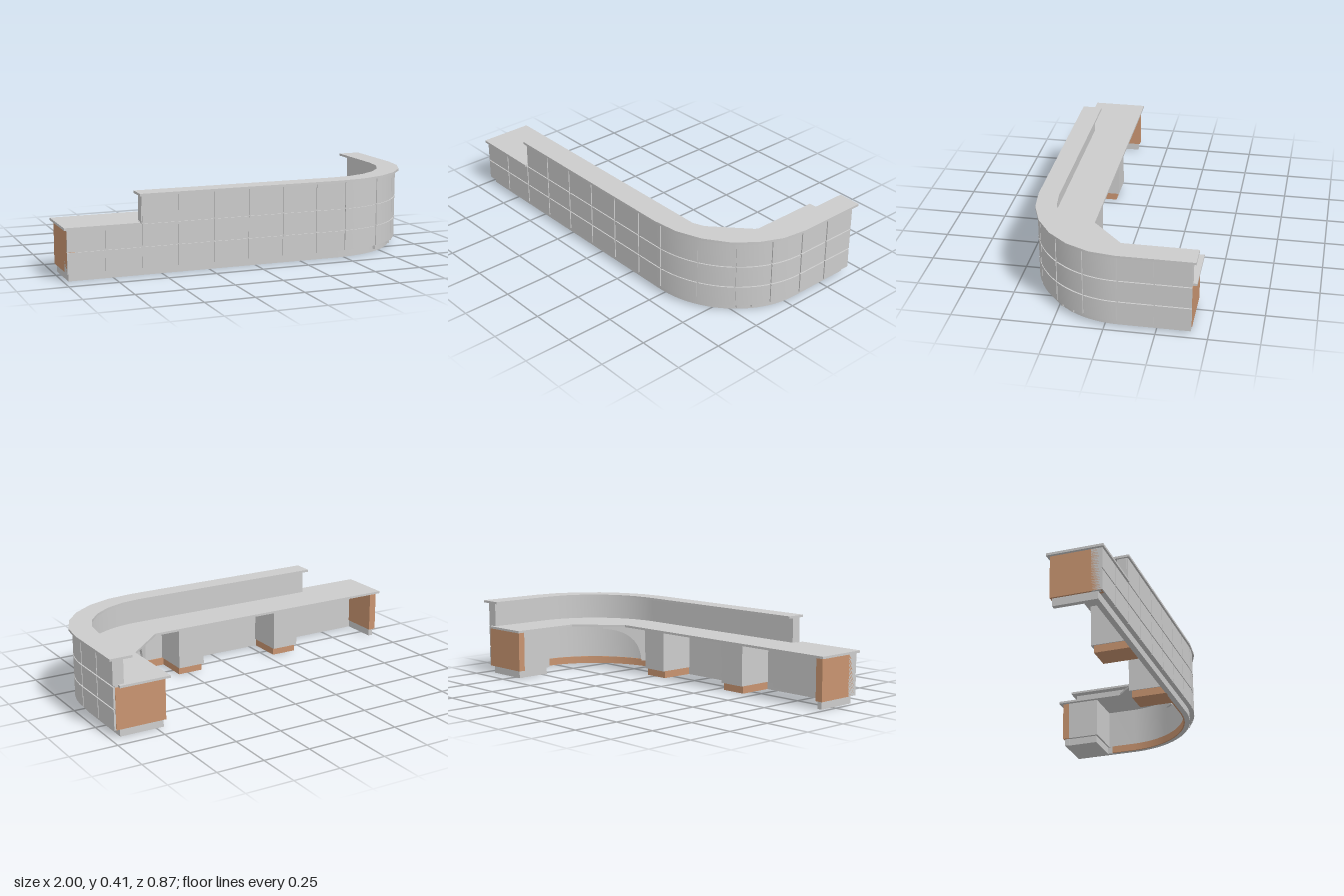
import * as THREE from 'three';
import { toCreasedNormals } from 'three/addons/utils/BufferGeometryUtils.js';

const grey = new THREE.MeshStandardMaterial({ color: 0xcccccc });
const wood = new THREE.MeshStandardMaterial({ color: 0xc89470 });

// Point on the counter line. u < 0: straight front, 0..1: corner curve, > 1: side leg.
// Insets move it inwards from the outermost edge.
function pointAt(u, [ix, iz]) {
  const a = THREE.MathUtils.clamp(u, 0, 1) * Math.PI / 2;
  const x = 0.46 + (0.54 - ix) * Math.sin(a) + Math.min(u, 0);
  const z = -0.06 + (0.49 - iz) * Math.cos(a) - Math.max(u - 1, 0);
  return [x, z];
}

function line(u0, u1, inset, segs) {
  const us = [u0];
  for (let i = 0; i <= segs; i++) {
    const u = i / segs;
    if (u > u0 + 1e-4 && u < u1 - 1e-4) us.push(u);
  }
  us.push(u1);
  return us.map(u => pointAt(u, inset));
}

// Slab with a floor outline given as [x, z] points
function slab(points, y0, y1) {
  const shape = new THREE.Shape(points.map(([x, z]) => new THREE.Vector2(x, -z)));
  const geo = new THREE.ExtrudeGeometry(shape, { depth: y1 - y0, bevelEnabled: false });
  geo.rotateX(-Math.PI / 2).translate(0, y0, 0);
  return toCreasedNormals(geo, 0.5);
}

function band(u0, u1, outer, inner, y0, y1, segs = 24) {
  return slab([...line(u0, u1, outer, segs), ...line(u0, u1, inner, segs).reverse()], y0, y1);
}

export function createModel() {
  const model = new THREE.Group();
  const add = (name, geo, mat = grey, parent = model) => {
    const mesh = new THREE.Mesh(geo, mat);
    mesh.name = name;
    parent.add(mesh);
    return mesh;
  };
  const box = (name, x0, x1, y0, y1, z0, z1, mat, parent) => {
    const geo = new THREE.BoxGeometry(x1 - x0, y1 - y0, z1 - z0);
    geo.translate((x0 + x1) / 2, (y0 + y1) / 2, (z0 + z1) / 2);
    return add(name, geo, mat, parent);
  };

  const left = -1.445, step = -1.07, end = 1.36;
  const face = [0.022, 0.01], back = [0.03, 0.016], inside = [0.08, 0.066];

  // Backing wall: low at the open end, tall elsewhere
  add('lowWall', band(left, step, back, inside, 0.04, 0.26));
  add('tallWall', band(step, end, back, inside, 0.04, 0.4));

  // Cladding panels with narrow gaps between them
  const panels = new THREE.Group();
  panels.name = 'claddingPanels';
  model.add(panels);
  const cuts = [];
  for (let k = 0; k < 8; k++) cuts.push(left + 0.1875 * k);
  cuts.push(0.04, 0.31, 0.545, 0.775, 1.006, 1.182, end);
  const rows = [[0.04, 0.145], [0.152, 0.26], [0.267, 0.4]];
  for (let k = 0; k < cuts.length - 1; k++) {
    const onCurve = u => u > 0 && u < 1;
    const gap = u => (onCurve(u) ? 0.0045 : 0.0035);
    const u0 = cuts[k] + (k ? gap(cuts[k]) : 0);
    const u1 = cuts[k + 1] - (k < cuts.length - 2 ? gap(cuts[k + 1]) : 0);
    rows.slice(0, k < 2 ? 2 : 3).forEach(([y0, y1]) =>
      add('claddingPanel', band(u0, u1, face, back, y0, y1), grey, panels));
  }

  // Recessed plinth, with a wooden skirting inside the curve
  add('plinth', band(-1.435, 1.35, [0.055, 0.035], [0.078, 0.064], 0, 0.04));
  add('innerSkirting', band(-0.16, 1.13, [0.078, 0.064], [0.086, 0.071], 0, 0.04), wood);

  // Raised transaction shelf
  add('upperCounter', band(-1.08, 1.38, [0, 0], [0.12, 0.105], 0.4, 0.412, 6));

  // Desk-height worktop with the angled inner corner
  add('worktop', slab([
    [-1, 0.43], [-0.62, 0.43], [-0.62, 0.39],
    ...line(-1.06, 1.38, [0.05, 0.04], 24),
    [0.68, -0.44], [0.68, -0.06], [0.46, 0.145], [-1, 0.145],
  ], 0.258, 0.27));

  // End panels and their bases
  box('openEndPanel', -0.985, -0.945, 0.04, 0.258, 0.16, 0.414, wood);
  box('openEndBase', -0.975, -0.95, 0, 0.04, 0.17, 0.395, grey);
  box('legEndPanel', 0.7, 0.968, 0.04, 0.258, -0.422, -0.385, wood);
  box('legEndBase', 0.71, 0.945, 0, 0.04, -0.413, -0.385, grey);

  // Drawer pedestal at the end of the leg
  box('legPedestal', 0.7, 0.93, 0.04, 0.258, -0.385, -0.21, grey);
  box('legPedestalBase', 0.715, 0.93, 0, 0.04, -0.385, -0.22, grey);

  // Two pedestals under the long worktop
  [0.16, -0.44].forEach(x => {
    const pedestal = new THREE.Group();
    pedestal.name = 'pedestal';
    model.add(pedestal);
    box('pedestalBody', x, x + 0.15, 0.04, 0.258, 0.165, 0.37, grey, pedestal);
    box('pedestalBase', x + 0.005, x + 0.145, 0, 0.04, 0.18, 0.37, wood, pedestal);
  });

  // Concave bracket plate carrying the worktop at the corner
  const profile = new THREE.Shape();
  profile.moveTo(0, 0.258);
  profile.lineTo(0, 0.05);
  profile.lineTo(0.05, 0.05);
  profile.quadraticCurveTo(0.06, 0.225, 0.27, 0.235);
  profile.lineTo(0.27, 0.258);
  const plate = new THREE.ExtrudeGeometry(profile, { depth: 0.012, bevelEnabled: false, curveSegments: 10 });
  const bracket = add('cornerBracket', toCreasedNormals(plate.translate(0, 0, -0.006), 0.5));
  bracket.position.set(0.44, 0, 0.32);
  bracket.rotation.y = 0.85;

  // Small levelling feet under the curved cladding
  [0.33, 0.56, 0.66].forEach(u =>
    add('levellingFoot', band(u, u + 0.02, [0.035, 0.022], [0.06, 0.04], 0.015, 0.04)));

  return model;
}
